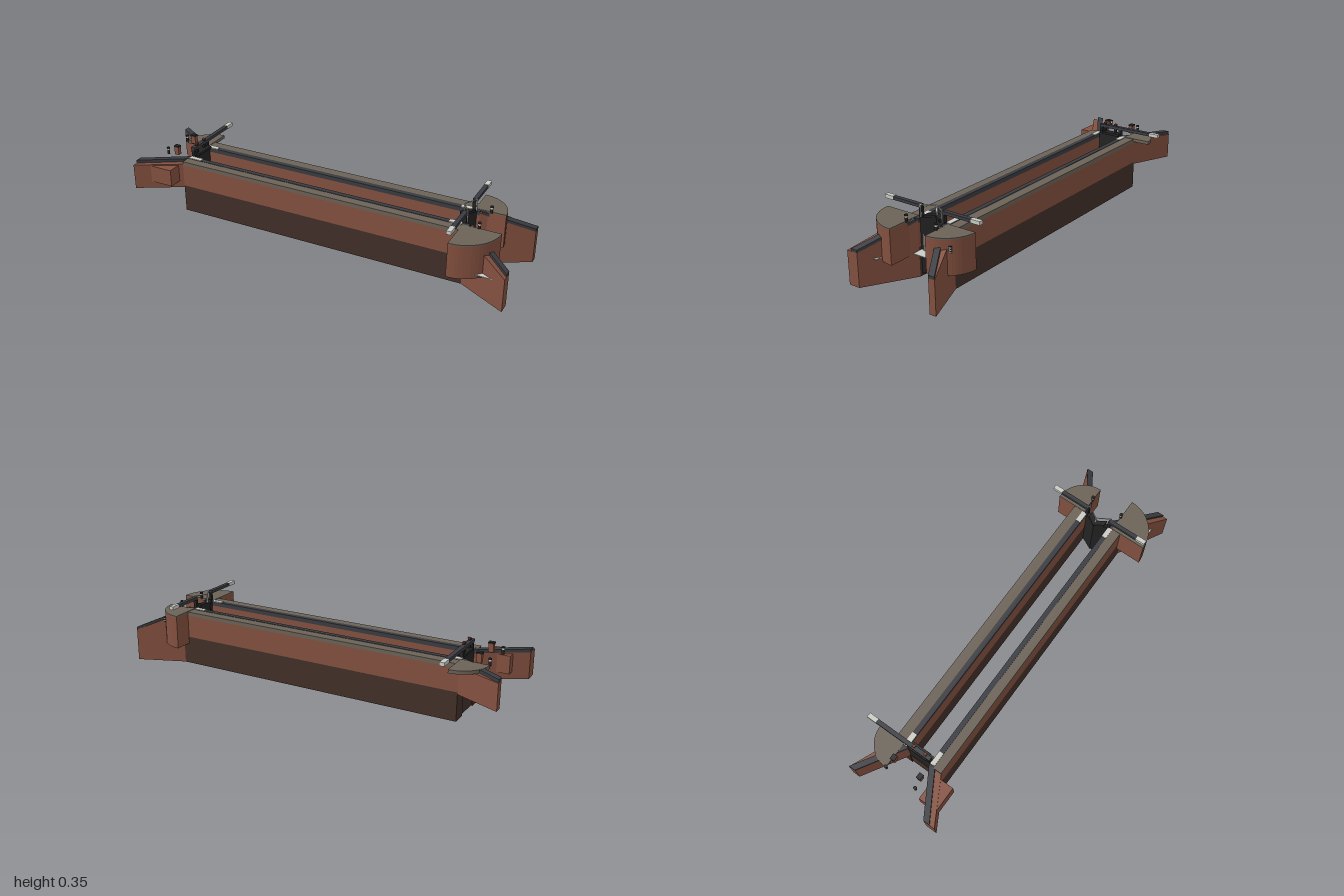
import * as THREE from 'three';

const mat = (name, color) => {
  const m = new THREE.MeshStandardMaterial({ color });
  m.name = name;
  return m;
};

export function createModel() {
  const brick = mat('brick', 0x83503f);
  const darkBrick = mat('wet brick', 0x412f28);
  const stone = mat('grey stone', 0x6b6257);
  const coping = mat('dark coping', 0x3a3b40);
  const tar = mat('black timber', 0x232323);
  const pale = mat('pale paint', 0xcbcbc6);
  const red = mat('red cap', 0x7a3a32);

  const model = new THREE.Group();
  model.name = 'canalLock';
  const add = (name, geometry, material) => {
    const mesh = new THREE.Mesh(geometry, material);
    mesh.name = name;
    model.add(mesh);
    return mesh;
  };

  // Box given by its limits on each axis
  const box = (name, m, x0, x1, y0, y1, z0, z1) => {
    const g = new THREE.BoxGeometry(x1 - x0, y1 - y0, z1 - z0);
    g.translate((x0 + x1) / 2, (y0 + y1) / 2, (z0 + z1) / 2);
    return add(name, g, m);
  };

  // Upright prism over a plan outline [x, z]; bottom and top are functions of x
  const prism = (name, m, plan, bottom, top) => {
    const shape = new THREE.Shape(plan.map(([x, z]) => new THREE.Vector2(x, -z)));
    const g = new THREE.ExtrudeGeometry(shape, { depth: 1, bevelEnabled: false });
    g.rotateX(-Math.PI / 2);
    const p = g.attributes.position;
    for (let i = 0; i < p.count; i++) {
      p.setY(i, p.getY(i) < 0.5 ? bottom(p.getX(i)) : top(p.getX(i)));
    }
    g.computeVertexNormals();
    return add(name, g, m);
  };
  const flat = (y) => () => y;

  // Quarter disc in plan, bulging towards sx and sz
  const quarter = (cx, cz, r, sx, sz) => {
    const pts = [[cx, cz]];
    for (let i = 0; i <= 16; i++) {
      const a = (i / 16) * Math.PI / 2;
      pts.push([cx + sx * r * Math.cos(a), cz + sz * r * Math.sin(a)]);
    }
    return pts;
  };

  // Chamber walls: inner and outer z of each side
  const sides = [
    { s: 1, inner: 0.077, mid: 0.102, outer: 0.147 },
    { s: -1, inner: -0.054, mid: -0.08, outer: -0.13 },
  ];
  for (const { inner, mid, outer } of sides) {
    const span = (a, b) => [Math.min(a, b), Math.max(a, b)];
    box('lowerWall', darkBrick, -0.78, 0.76, 0, 0.145, ...span(inner, outer));
    box('upperWall', brick, -0.78, 0.76, 0.145, 0.262, ...span(inner, outer));
    box('towpath', stone, -0.78, 0.76, 0.262, 0.282, ...span(mid, outer));
    box('wallCoping', coping, -0.78, 0.76, 0.262, 0.284, ...span(inner, mid));
    box('upperQuoin', pale, -0.77, -0.7, 0.282, 0.287, ...span(inner, mid));
    box('lowerQuoin', pale, 0.665, 0.725, 0.282, 0.287, ...span(inner, mid));
  }

  // Splayed wing walls, sloping at the lower end and level at the upper end
  const slope = (x) => 0.168 + (1 - x) * 0.45;
  const wings = [
    { inner: 0.077, outer: 0.147, endIn: 0.22, endOut: 0.279 },
    { inner: -0.054, outer: -0.13, endIn: -0.19, endOut: -0.225 },
  ];
  wings.forEach(({ inner, outer, endIn, endOut }, i) => {
    const s = i ? -1 : 1;
    prism('lowerWing', brick, [[0.76, inner], [0.76, outer], [1, endOut], [1, endIn]],
      flat(0), slope);
    const w = s * 0.034;
    prism('lowerWingCoping', coping,
      [[0.77, inner], [0.77, inner + w], [1, endIn + w], [1, endIn]],
      slope, (x) => slope(x) + 0.014);
    const farIn = i ? -0.188 : 0.212, farOut = i ? -0.225 : 0.273;
    prism('upperWing', brick, [[-0.78, inner], [-0.78, outer], [-1, farOut], [-1, farIn]],
      flat(0.135), flat(0.268));
    prism('upperWingCoping', coping,
      [[-0.78, inner], [-0.78, inner + w], [-1, farIn + w], [-1, farIn]],
      flat(0.268), flat(0.284));
  });
  box('wingBlock', brick, -0.93, -0.8, 0.172, 0.262, 0.13, 0.23);

  // Rounded platforms for walking the beams round
  for (const [cz, r, s] of [[0.098, 0.187, 1], [-0.073, 0.152, -1]]) {
    const plan = quarter(0.73, cz, r, 1, s);
    prism('roundAbutment', brick, plan, flat(0.11), flat(0.278));
    prism('roundAbutmentTop', stone, plan, flat(0.278), flat(0.285));
  }
  prism('upperRoundTop', stone, quarter(-0.765, -0.08, 0.142, -1, -1), flat(0.268), flat(0.285));

  // Upper gate on its cill, with a single balance beam
  box('cill', darkBrick, -0.775, -0.717, 0.005, 0.145, -0.054, 0.077);
  box('upperGate', tar, -0.772, -0.748, 0.14, 0.288, -0.054, 0.077);
  box('upperWalkway', tar, -0.775, -0.735, 0.288, 0.3, -0.05, 0.055);
  box('upperBeam', coping, -0.772, -0.75, 0.322, 0.338, -0.235, 0.077);
  box('upperBeamTip', pale, -0.773, -0.749, 0.321, 0.339, -0.286, -0.235);
  for (const z of [-0.05, 0.07]) box('upperHeelPost', tar, -0.77, -0.752, 0.285, 0.324, z - 0.007, z + 0.007);
  for (const z of [-0.02, 0.046]) {
    box('paddlePost', tar, -0.764, -0.752, 0.285, 0.346, z - 0.006, z + 0.006);
    box('paddlePostCap', red, -0.765, -0.751, 0.346, 0.351, z - 0.007, z + 0.007);
  }

  // Lower mitre gates, meeting in a V
  for (const [z, s] of [[0.077, 1], [-0.054, -1]]) {
    prism('mitreGate', tar, [[0.69, 0.0115], [0.712, 0.0115], [0.745, z], [0.723, z]],
      flat(0.012), flat(0.287));
    prism('gateWalkway', tar,
      [[0.685, 0.0115], [0.715, 0.0115], [0.745, z - s * 0.02], [0.715, z - s * 0.02]],
      flat(0.287), flat(0.3));
    const tip = s > 0 ? 0.237 : -0.21, end = s > 0 ? 0.287 : -0.259;
    const root = z - s * 0.002;
    box('lowerBeam', coping, 0.722, 0.743, 0.33, 0.345, Math.min(root, tip), Math.max(root, tip));
    box('lowerBeamTip', pale, 0.721, 0.744, 0.329, 0.347, Math.min(tip, end), Math.max(tip, end));
    box('lowerHeelPost', tar, 0.724, 0.742, 0.285, 0.332, z - 0.007, z + 0.007);
    // Handrail along each leaf
    prism('handrail', pale, [[0.703, 0.0115], [0.707, 0.0115], [0.746, z], [0.742, z]],
      flat(0.343), flat(0.347));
    for (const [x, pz] of [[0.744, z - s * 0.004], [0.706, 0.0115 + s * 0.003]]) {
      box('railPost', pale, x - 0.002, x + 0.002, 0.287, 0.345, pz - 0.002, pz + 0.002);
    }
  }

  // Ledge and paddle rods on the lower gates
  box('gateLedge', pale, 0.73, 0.8, 0.127, 0.13, -0.054, 0.077);
  for (const [z, top] of [[0.057, 0.21], [0.026, 0.213], [-0.008, 0.231], [-0.035, 0.207]]) {
    box('paddleRod', pale, 0.745, 0.751, 0.13, top, z - 0.003, z + 0.003);
  }
  box('landingPlate', pale, 0.84, 0.94, 0.127, 0.13, 0.165, 0.24);

  // Depth gauge on the rounded abutment
  for (let i = 0; i < 6; i++) {
    const y = 0.22 + i * 0.005;
    box('gaugeBar', i % 2 ? tar : pale, 0.838, 0.846, y, y + 0.005, -0.184, -0.169);
  }

  // Mooring bollards with pale bands
  for (const [x, z] of [[0.81, 0.098], [0.81, -0.073], [-0.905, 0.095], [-0.905, -0.076]]) {
    for (const [m, r, y0, y1] of [[tar, 0.007, 0.28, 0.303], [pale, 0.0085, 0.303, 0.31], [tar, 0.0085, 0.31, 0.316]]) {
      const g = new THREE.CylinderGeometry(r, r, y1 - y0, 12);
      g.translate(x, (y0 + y1) / 2, z);
      add('bollard', g, m);
    }
  }

  // Ground paddle stands at the upper end
  for (const z of [0.085, -0.067]) {
    box('paddleStand', brick, -0.865, -0.84, 0.285, 0.327, z - 0.011, z + 0.011);
    box('paddleStandTop', tar, -0.867, -0.838, 0.327, 0.334, z - 0.012, z + 0.012);
  }
  return model;
}
